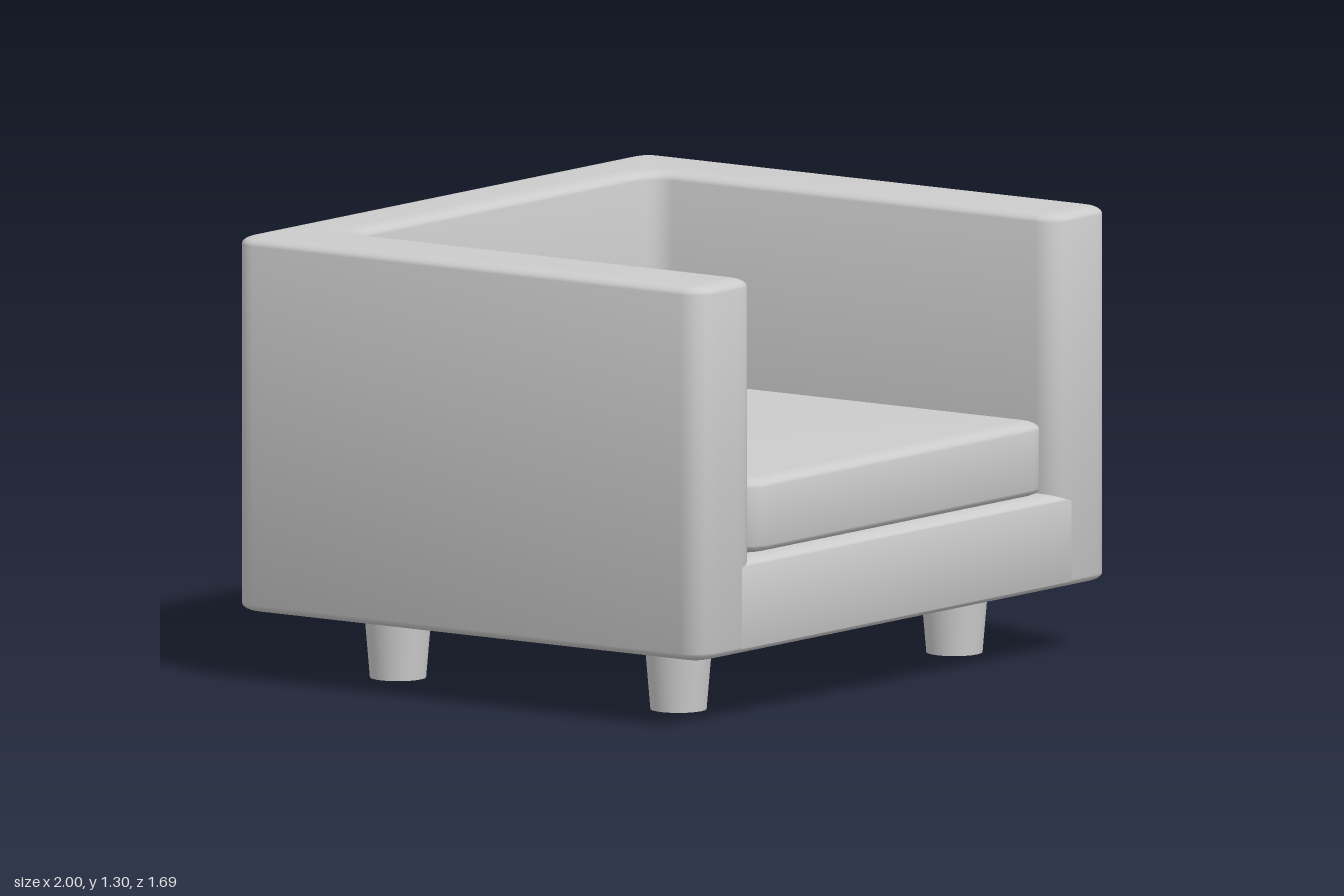
import * as THREE from 'three';
import { toCreasedNormals } from 'three/addons/utils/BufferGeometryUtils.js';

const material = new THREE.MeshStandardMaterial({ color: 0xcccccc });
const EDGE_WIDTH = 0.06;   // how far the soft edge runs inward
const EDGE_HEIGHT = 0.025; // how far it drops

// Closed outline whose corners are rounded by radius r
function roundedOutline(corners, r) {
  const shape = new THREE.Shape();
  const k = 0.5523;
  const pts = corners.map(([x, y]) => new THREE.Vector2(x, y));
  pts.forEach((p, i) => {
    const prev = pts[(i + pts.length - 1) % pts.length];
    const next = pts[(i + 1) % pts.length];
    const a = prev.clone().sub(p).setLength(r).add(p);
    const b = next.clone().sub(p).setLength(r).add(p);
    const ca = a.clone().lerp(p, k);
    const cb = b.clone().lerp(p, k);
    if (i === 0) shape.moveTo(a.x, a.y);
    else shape.lineTo(a.x, a.y);
    shape.bezierCurveTo(ca.x, ca.y, cb.x, cb.y, b.x, b.y);
  });
  shape.closePath();
  return shape;
}

// Upright padded block: plan outline in (x, -z), from y0 to y1, with soft edges
function paddedBlock(name, corners, r, y0, y1) {
  const geometry = new THREE.ExtrudeGeometry(roundedOutline(corners, r), {
    depth: y1 - y0 - 2 * EDGE_HEIGHT,
    curveSegments: 6,
    bevelEnabled: true,
    bevelThickness: EDGE_HEIGHT,
    bevelSize: EDGE_WIDTH,
    bevelOffset: -EDGE_WIDTH,
    bevelSegments: 5,
  });
  geometry.rotateX(-Math.PI / 2).translate(0, y0 + EDGE_HEIGHT, 0);
  const mesh = new THREE.Mesh(toCreasedNormals(geometry, 0.7), material);
  mesh.name = name;
  return mesh;
}

export function createModel() {
  const group = new THREE.Group();
  group.name = 'armchair';

  // Back and both arms as one U-shaped shell
  group.add(paddedBlock('backAndArms', [
    [-1, -0.845], [-0.725, -0.845], [-0.725, 0.61], [0.725, 0.61],
    [0.725, -0.845], [1, -0.845], [1, 0.845], [-1, 0.845],
  ], 0.075, 0.2, 1.3));

  // Seat base between the arms: side profile with soft front edges, run along x
  const front = 0.845, back = -0.75, bottom = 0.2, top = 0.48;
  const profile = new THREE.Shape();
  profile.moveTo(-back, bottom);
  profile.lineTo(-back, top);
  profile.lineTo(-front + EDGE_WIDTH, top);
  profile.absellipse(-front + EDGE_WIDTH, top - EDGE_HEIGHT, EDGE_WIDTH, EDGE_HEIGHT, Math.PI / 2, Math.PI, false);
  profile.absellipse(-front + EDGE_WIDTH, bottom + EDGE_HEIGHT, EDGE_WIDTH, EDGE_HEIGHT, Math.PI, Math.PI * 1.5, false);
  profile.closePath();
  const baseGeometry = new THREE.ExtrudeGeometry(profile, { depth: 1.6, bevelEnabled: false, curveSegments: 5 });
  baseGeometry.translate(0, 0, -0.8).rotateY(Math.PI / 2);
  // profile x = -z, so the quarter turn puts the front at +z
  const base = new THREE.Mesh(toCreasedNormals(baseGeometry, 0.7), material);
  base.name = 'seatBase';
  group.add(base);

  // Loose seat cushion
  group.add(paddedBlock('seatCushion', [
    [-0.725, -0.825], [0.725, -0.825], [0.725, 0.61], [-0.725, 0.61],
  ], 0.08, 0.48, 0.7));

  // Four tapered feet
  const footGeometry = new THREE.CylinderGeometry(0.1, 0.082, 0.21, 24);
  for (const x of [-0.67, 0.67]) {
    for (const z of [-0.49, 0.52]) {
      const foot = new THREE.Mesh(footGeometry, material);
      foot.name = `${z > 0 ? 'front' : 'back'}${x > 0 ? 'Left' : 'Right'}Foot`;
      foot.position.set(x, 0.105, z);
      group.add(foot);
    }
  }
  return group;
}
